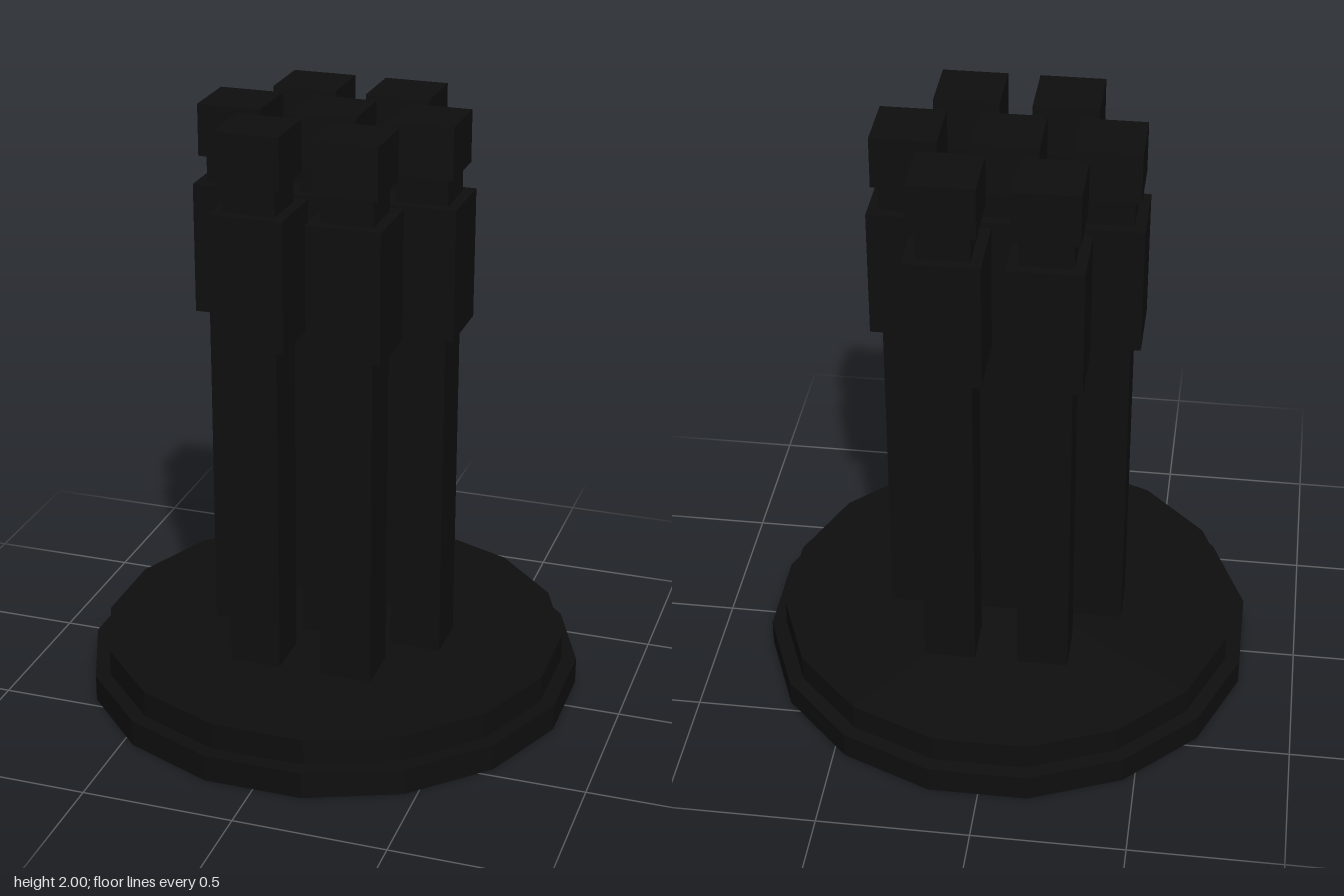
import * as THREE from 'three';

export function createModel() {
  const model = new THREE.Group();
  model.name = 'columnCluster';
  const black = new THREE.MeshStandardMaterial({ color: 0x0e0e0e, flatShading: true, side: THREE.DoubleSide });
  black.name = 'black';

  // Stepped sixteen-sided base, a thin shell hollow underneath
  const profile = [[0.83, 0], [0.83, 0.09], [0.78, 0.09], [0.78, 0.18], [0, 0.18]]
    .map(([r, y]) => new THREE.Vector2(r, y));
  const base = new THREE.Mesh(new THREE.LatheGeometry(profile, 16, Math.PI / 16), black);
  base.name = 'base';
  model.add(base);

  // Square block spanning two heights
  const block = (name, width, bottom, top) => {
    const mesh = new THREE.Mesh(new THREE.BoxGeometry(width, top - bottom, width), black);
    mesh.position.y = (bottom + top) / 2;
    mesh.name = name;
    return mesh;
  };

  // One column: shaft, wide band and cap
  const addColumn = (x, z) => {
    const column = new THREE.Group();
    column.name = 'column';
    column.add(
      block('shaft', 0.17, 0.175, 1.84),
      block('band', 0.24, 1.31, 1.74),
      block('cap', 0.21, 1.83, 2),
    );
    column.position.set(x, 0, z);
    model.add(column);
  };

  // Centre column ringed by six others
  addColumn(0, 0);
  for (let i = 0; i < 6; i++) {
    const a = (i * Math.PI) / 3;
    addColumn(0.313 * Math.cos(a), 0.313 * Math.sin(a));
  }
  return model;
}
